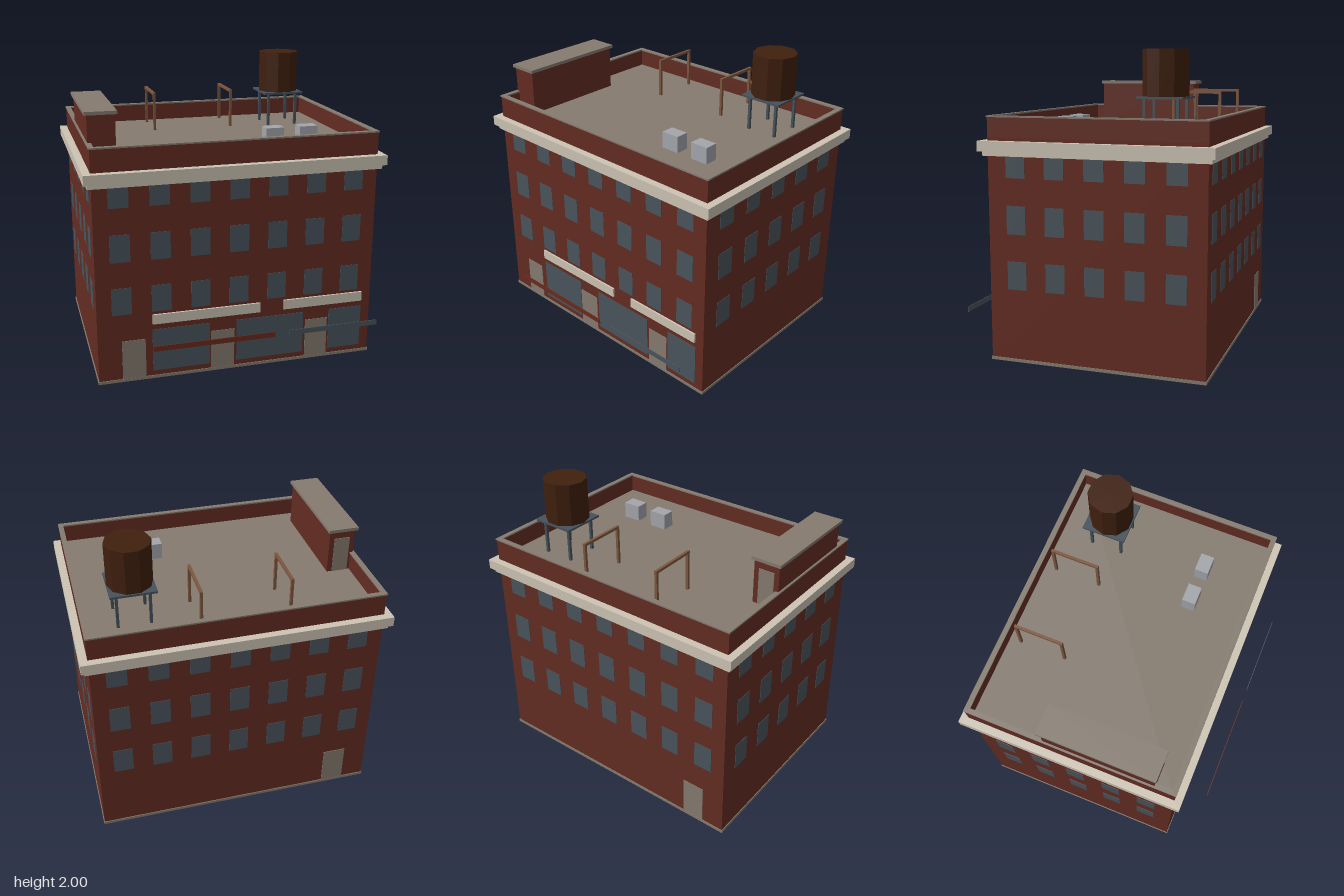
import * as THREE from 'three';

const mat = (name, color) => {
  const m = new THREE.MeshStandardMaterial({ color });
  m.name = name;
  return m;
};

export function createModel() {
  const brick = mat('brick', 0x632c22);
  const cream = mat('cream trim', 0xcdc4b4);
  const stone = mat('grey stone', 0x857b70);
  const glass = mat('slate glass', 0x4a545c);
  const steel = mat('dark steel', 0x46525c);
  const wood = mat('tank wood', 0x40200e);
  const copper = mat('pipe brown', 0x7d573f);
  const vent = mat('vent grey', 0xa3a6ab);
  const red = mat('awning red', 0x6b2a1d);

  const model = new THREE.Group();
  model.name = 'cornerBuilding';
  const CZ = -0.073, W = 0.95, D = 0.715; // building centre z and half sizes
  const FRONT = CZ + D, BACK = CZ - D, DECK = 1.46;

  const add = (name, geo, material, parent = model) => {
    const m = new THREE.Mesh(geo, material);
    m.name = name;
    parent.add(m);
    return m;
  };
  // Box given by its low and high limits on each axis
  const box = (name, material, [x0, x1], [y0, y1], [z0, z1], parent) => {
    const m = add(name, new THREE.BoxGeometry(x1 - x0, y1 - y0, z1 - z0), material, parent);
    m.position.set((x0 + x1) / 2, (y0 + y1) / 2, (z0 + z1) / 2);
    return m;
  };
  // Rectangular ring running around the building
  const ring = (name, material, hx, hz, ix, iz, y0, y1) => {
    const rect = (S, a, b) => {
      const s = new S();
      s.moveTo(-a, -b); s.lineTo(a, -b); s.lineTo(a, b); s.lineTo(-a, b); s.closePath();
      return s;
    };
    const shape = rect(THREE.Shape, hx, hz);
    shape.holes.push(rect(THREE.Path, ix, iz));
    const geo = new THREE.ExtrudeGeometry(shape, { depth: y1 - y0, bevelEnabled: false });
    geo.rotateX(-Math.PI / 2);
    add(name, geo, material).position.set(0, y0, CZ);
  };

  // Main block, deck and parapet
  box('base', stone, [-W - 0.005, W + 0.005], [0, 0.02], [BACK - 0.005, FRONT + 0.005]);
  box('walls', brick, [-W, W], [0.02, DECK - 0.005], [BACK, FRONT]);
  box('roofDeck', stone, [-0.93, 0.93], [DECK - 0.005, DECK], [CZ - 0.695, CZ + 0.695]);
  ring('parapet', brick, W, D, 0.925, 0.69, DECK - 0.005, 1.58);
  ring('parapetCap', stone, W + 0.005, D + 0.005, 0.92, 0.685, 1.58, 1.59);
  ring('lowerCornice', cream, 0.976, 0.741, 0.94, 0.705, 1.338, 1.367);
  ring('upperCornice', cream, 1.0, 0.764, 0.94, 0.705, 1.367, 1.433);

  // Three floors of windows on all four sides
  const windows = new THREE.Group();
  windows.name = 'windows';
  model.add(windows);
  const T = 0.003, HW = 0.065;
  for (let floor = 0; floor < 3; floor++) {
    const y = [0.48 + floor * 0.36, 0.664 + floor * 0.36];
    for (let i = -3; i <= 3; i++) {
      const x = [i * 0.262 - HW, i * 0.262 + HW];
      box('frontWindow', glass, x, y, [FRONT - T, FRONT + T], windows);
      box('backWindow', glass, x, y, [BACK - T, BACK + T], windows);
    }
    for (let i = -2; i <= 2; i++) {
      const z = [CZ + i * 0.263 - HW, CZ + i * 0.263 + HW];
      for (const s of [-1, 1]) box('sideWindow', glass, [s * W - T, s * W + T], y, z, windows);
    }
  }

  // Shop fronts, doors and sign boards
  for (const x of [[-0.59, -0.2], [-0.016, 0.46], [0.647, 0.887]])
    box('shopWindow', glass, x, [0.055, 0.352], [FRONT - T, FRONT + T]);
  for (const x of [[-0.793, -0.637], [-0.195, -0.032], [0.476, 0.636]])
    box('frontDoor', stone, x, [0.02, 0.292], [FRONT - 0.004, FRONT + 0.004]);
  box('backDoor', stone, [-0.793, -0.637], [0.02, 0.292], [BACK - 0.004, BACK + 0.004]);
  for (const x of [[-0.588, 0.148], [0.315, 0.885]])
    box('signBoard', cream, x, [0.393, 0.46], [FRONT - 0.005, FRONT + 0.013]);

  // Awning strips standing out from the shops
  box('redAwningStrip', red, [-0.62, 0.195], [0.29, 0.325], [0.829, 0.834]);
  box('slateAwningStrip', glass, [0.295, 0.92], [0.29, 0.325], [0.829, 0.834]);

  // Stair house on the roof
  box('stairHouse', brick, [-0.942, -0.765], [DECK, 1.765], [-0.25, 0.5]);
  box('stairHouseCap', stone, [-0.958, -0.752], [1.763, 1.785], [-0.268, 0.512]);
  box('stairHouseDoor', stone, [-0.908, -0.8], [DECK, 1.71], [-0.254, -0.246]);

  // Water tank on its stand
  const tank = new THREE.Group();
  tank.name = 'waterTank';
  tank.position.set(0.617, 0, -0.43);
  model.add(tank);
  const barrel = new THREE.CylinderGeometry(0.147, 0.147, 0.29, 10, 1, false, Math.PI / 2).toNonIndexed();
  barrel.computeVertexNormals();
  add('tankBarrel', barrel, wood, tank).position.y = 1.855;
  box('tankPlatform', steel, [-0.148, 0.148], [1.696, 1.71], [-0.148, 0.148], tank);
  for (const x of [-0.105, 0.105])
    for (const z of [-0.107, 0.107])
      box('tankLeg', steel, [x - 0.009, x + 0.009], [DECK, 1.696], [z - 0.009, z + 0.009], tank);

  // Pipe frames
  for (const x of [-0.35, 0.227]) {
    const px = [x - 0.009, x + 0.009];
    for (const z of [-0.37, -0.685])
      box('pipePost', copper, px, [DECK, 1.72], [z - 0.009, z + 0.009]);
    box('pipeRail', copper, px, [1.717, 1.735], [-0.694, -0.361]);
  }

  // Roof vents
  for (const x of [0.35, 0.592])
    box('roofVent', vent, [x - 0.064, x + 0.064], [DECK, 1.573], [0.21, 0.302]);

  return model;
}
